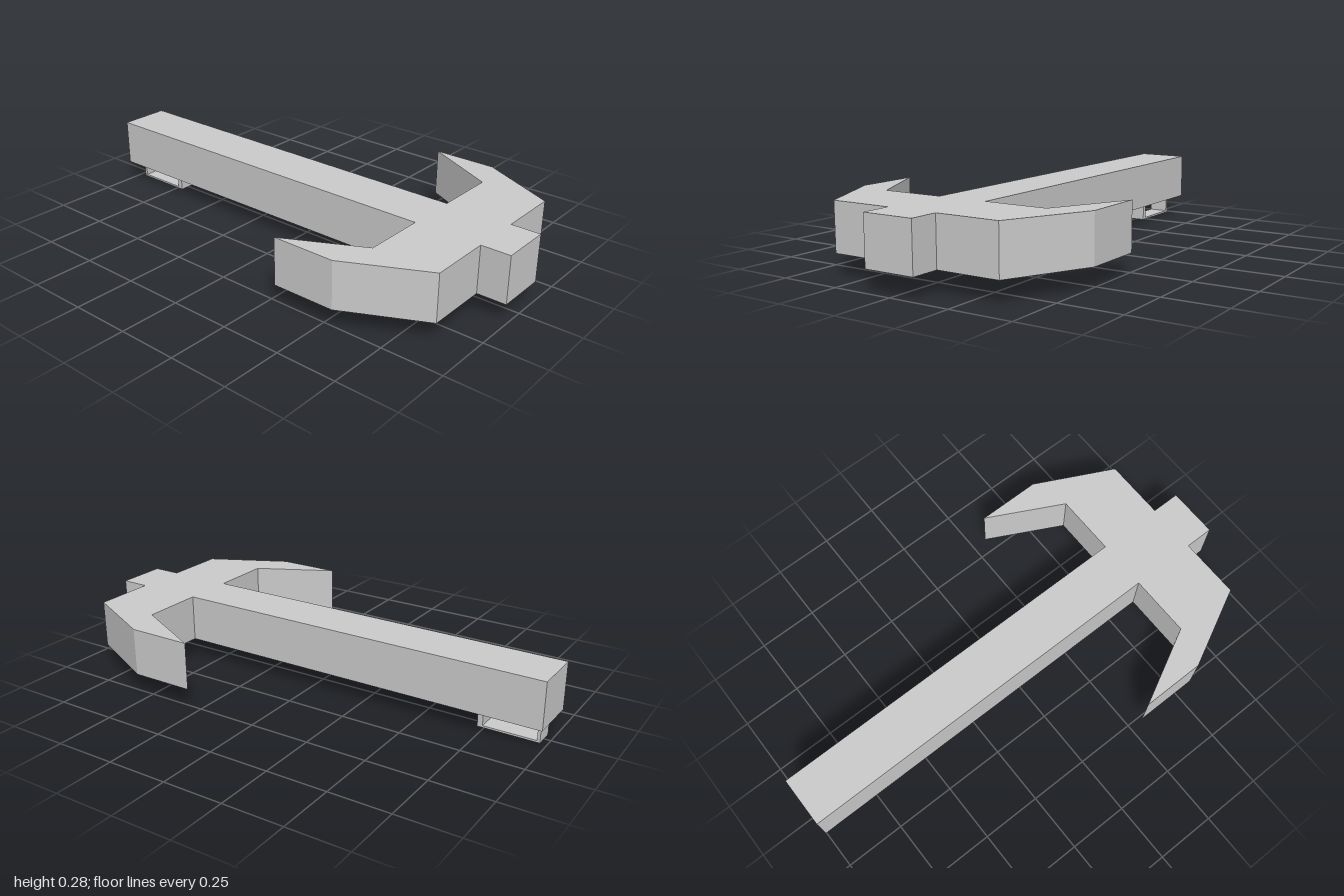
import * as THREE from 'three';

const material = new THREE.MeshStandardMaterial({ color: 0xcccccc, flatShading: true });

function extrude(name, shape, depth) {
  const geometry = new THREE.ExtrudeGeometry(shape, { depth, bevelEnabled: false });
  const mesh = new THREE.Mesh(geometry, material);
  mesh.name = name;
  return mesh;
}

const rectangle = (x0, y0, x1, y1) => [[x0, y0], [x1, y0], [x1, y1], [x0, y1]]
  .map(([x, y]) => new THREE.Vector2(x, y));

export function createModel() {
  const group = new THREE.Group();
  group.name = 'anchor';

  // Anchor body: half outline in (x, z), mirrored across the shank
  const half = [
    [0.106, -1], [0.106, 0.605], [0.365, 0.605], [0.526, 0.29],
    [0.526, 0.555], [0.365, 0.88], [0.106, 0.88], [0.106, 1],
  ];
  const mirrored = half.map(([x, z]) => [-x, z]).reverse();
  const outline = [...half, ...mirrored].map(([x, z]) => new THREE.Vector2(x, z));
  const body = extrude('anchorBody', new THREE.Shape(outline), 0.195);
  body.geometry.rotateX(Math.PI / 2).translate(0, 0.28, 0);
  group.add(body);

  // Rectangular hanging loop under the rear of the shank, drawn in (z, y)
  const frame = new THREE.Shape(rectangle(-0.973, 0, -0.722, 0.085));
  frame.holes.push(new THREE.Path(rectangle(-0.961, 0.008, -0.744, 0.076)));
  const loop = extrude('hangingLoop', frame, 0.082);
  loop.geometry.rotateY(-Math.PI / 2).translate(0.041, 0, 0);
  group.add(loop);

  return group;
}
